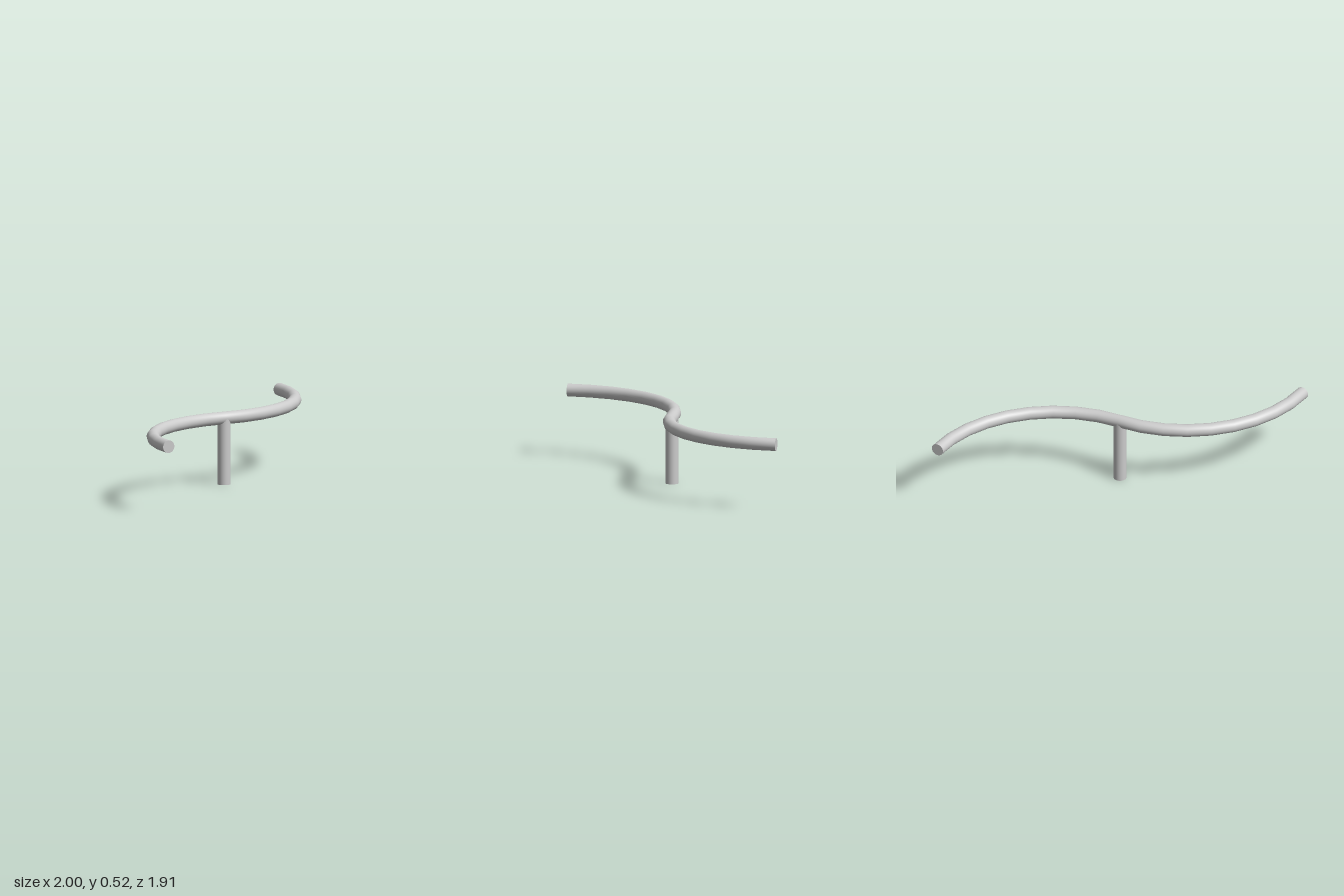
import * as THREE from 'three';

const BEND = 0.9545;      // radius of each quarter bend
const PIPE = 0.0455;      // pipe radius
const HEIGHT = 0.477;     // height of the pipe's centre line
const SIDES = 32;

// Two quarter circles joined in an S, lying flat
class SBend extends THREE.Curve {
  getPoint(t, target = new THREE.Vector3()) {
    const s = 2 * t - 1;
    const a = Math.abs(s) * Math.PI / 2;
    const side = s < 0 ? -1 : 1;
    return target.set(side * BEND * Math.sin(a), HEIGHT, -side * BEND * (1 - Math.cos(a)));
  }
}

export function createModel() {
  const group = new THREE.Group();
  const material = new THREE.MeshStandardMaterial({ color: 0xcccccc });
  const add = (name, geometry) => {
    const mesh = new THREE.Mesh(geometry, material);
    mesh.name = name;
    group.add(mesh);
    return mesh;
  };

  // Curved pipe, nine segments per bend
  add('curvedPipe', new THREE.TubeGeometry(new SBend(), 18, PIPE, SIDES, false));

  // Flat caps closing both ends
  for (const side of [-1, 1]) {
    const cap = add(side < 0 ? 'rightEndCap' : 'leftEndCap', new THREE.CircleGeometry(PIPE, SIDES));
    cap.position.set(side * BEND, HEIGHT, -side * BEND);
    if (side > 0) cap.rotation.y = Math.PI;
  }

  // Upright branch, running up to the pipe's centre line
  add('post', new THREE.CylinderGeometry(PIPE, PIPE, HEIGHT, SIDES)).position.y = HEIGHT / 2;

  return group;
}
